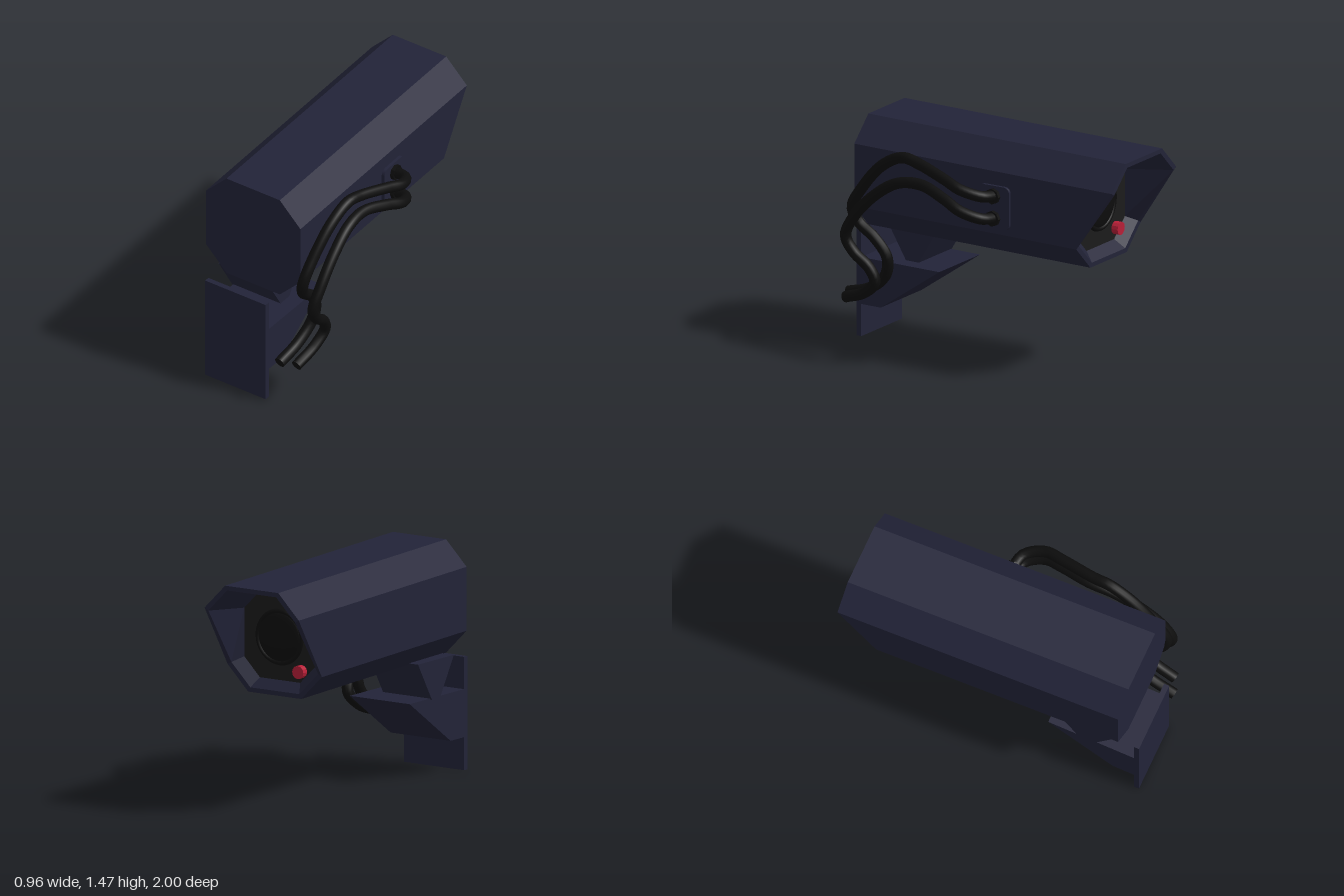
import * as THREE from 'three';

const NAVY = 0x222338, BLACK = 0x0d0d0d, PANEL = 0x1b1b1b, RED = 0xb81f38;
const YAW = 0.032, PITCH = 0.0137; // slight turn and tilt of the housing

const mat = (color, flatShading = true) =>
  new THREE.MeshStandardMaterial({ color, flatShading });

function add(parent, name, geometry, material) {
  const mesh = new THREE.Mesh(geometry, material);
  mesh.name = name;
  parent.add(mesh);
  return mesh;
}

// Point of the housing axis at depth z
const axis = (z) => new THREE.Vector3(-0.067 + YAW * (z - 0.89), 1.11 + PITCH * (z - 0.89), z);

// Octagon corners, counter-clockwise seen from the front
const A = 0.36, B = 0.203;
const OCT = [[A, -B], [A, B], [B, A], [-B, A], [-A, B], [-A, -B], [-B, -A], [B, -A]];
const ring = (scale, zAt) => OCT.map(([x, y]) => {
  const p = axis(zAt(y));
  return p.set(p.x + x * scale, p.y + y * scale, p.z);
});

function facets(triangles) {
  const g = new THREE.BufferGeometry().setFromPoints(triangles);
  g.computeVertexNormals();
  return g;
}

// Skin between successive rings, with a cap on the first
function shell(rings) {
  const t = [];
  for (let r = 0; r < rings.length - 1; r++) {
    for (let i = 0; i < 8; i++) {
      const j = (i + 1) % 8;
      const a = rings[r][i], b = rings[r][j], c = rings[r + 1][j], d = rings[r + 1][i];
      t.push(a, d, c, a, c, b);
    }
  }
  for (let i = 1; i < 7; i++) t.push(rings[0][0], rings[0][i], rings[0][i + 1]);
  return facets(t);
}

// Side profile of [z, y] points extruded across x
function sideProfile(points, x0, x1) {
  const shape = new THREE.Shape(points.map(([z, y]) => new THREE.Vector2(-z, y)));
  const g = new THREE.ExtrudeGeometry(shape, { depth: x1 - x0, bevelEnabled: false });
  return g.rotateY(Math.PI / 2).translate(x0, 0, 0);
}

function roundedRect(w, h, r) {
  const s = new THREE.Shape();
  s.absarc(w / 2 - r, h / 2 - r, r, 0, Math.PI / 2);
  s.absarc(-w / 2 + r, h / 2 - r, r, Math.PI / 2, Math.PI);
  s.absarc(-w / 2 + r, -h / 2 + r, r, Math.PI, Math.PI * 1.5);
  s.absarc(w / 2 - r, -h / 2 + r, r, Math.PI * 1.5, Math.PI * 2);
  return s;
}

// Round cable with closed ends
function cable(parent, name, points) {
  const path = new THREE.CatmullRomCurve3(points.map((p) => new THREE.Vector3(...p)));
  const material = mat(BLACK, false);
  add(parent, name, new THREE.TubeGeometry(path, 80, 0.036, 12), material);
  const end = add(parent, name + 'End', new THREE.CircleGeometry(0.036, 12), material);
  end.position.copy(path.getPoint(1));
  end.lookAt(end.position.clone().add(path.getTangent(1)));
}

export function createModel() {
  const model = new THREE.Group();
  model.name = 'securityCamera';
  const navy = mat(NAVY);

  // Octagonal housing with an overhanging, hollow hood
  const lip = (y) => (y > 0 ? -1 : -0.74);
  const panelRing = ring(0.76, () => -0.68);
  add(model, 'housing', shell([ring(1, () => 0.89), ring(1, lip), ring(0.92, lip), panelRing]), navy);

  // Recessed panel, lens and indicator light
  const fan = [];
  for (let i = 1; i < 7; i++) fan.push(panelRing[0], panelRing[i + 1], panelRing[i]);
  add(model, 'lensPanel', facets(fan), mat(PANEL));

  const optics = new THREE.Group();
  optics.name = 'optics';
  optics.position.copy(axis(-0.68));
  optics.rotation.y = Math.PI + YAW; // local +z looks out of the hood
  model.add(optics);
  add(optics, 'lensRing', new THREE.TorusGeometry(0.165, 0.016, 8, 32), mat(BLACK, false));
  const lens = add(optics, 'lens', new THREE.SphereGeometry(0.16, 32, 8, 0, Math.PI * 2, 0, Math.PI / 2), mat(BLACK, false));
  lens.rotation.x = Math.PI / 2;
  lens.scale.y = 0.2;
  const light = add(optics, 'indicatorLight', new THREE.CylinderGeometry(0.042, 0.042, 0.05, 12), mat(RED));
  light.rotation.x = Math.PI / 2;
  light.position.set(0.165, -0.2, 0.025);

  // Wall plate, arm and neck
  const plate = add(model, 'wallPlate', new THREE.BoxGeometry(0.46, 0.72, 0.035), navy);
  plate.position.set(-0.125, 0.36, 0.9825);
  add(model, 'arm', sideProfile([[0.97, 0.515], [0.97, 0.21], [0.82, 0.21], [0.38, 0.515]], -0.354, 0.104), navy);
  add(model, 'neck', sideProfile([[0.84, 0.755], [0.69, 0.505], [0.605, 0.505], [0.455, 0.755]], -0.365, 0.005), navy);

  // Cable inlet on the side of the housing
  const inlet = new THREE.Group();
  inlet.name = 'cableInlet';
  inlet.position.set(0.25, 1.07, -0.145);
  inlet.rotation.y = Math.PI / 2 + YAW;
  model.add(inlet);
  add(inlet, 'inletPlate', new THREE.ExtrudeGeometry(roundedRect(0.225, 0.28, 0.04),
    { depth: 0.03, bevelEnabled: false, curveSegments: 4 }), navy);
  for (const y of [0.075, -0.07]) {
    const gland = add(inlet, 'cableGland', new THREE.CylinderGeometry(0.05, 0.05, 0.05, 8), mat(BLACK));
    gland.rotation.x = Math.PI / 2;
    gland.position.set(0, y, 0.03);
  }

  // Two cables looping back to the wall
  cable(model, 'upperCable', [
    [0.27, 1.145, -0.15], [0.38, 1.16, -0.12], [0.44, 1.2, 0], [0.42, 1.24, 0.13],
    [0.375, 1.295, 0.36], [0.365, 1.31, 0.48], [0.35, 1.23, 0.64], [0.33, 1.06, 0.8],
    [0.315, 0.91, 0.89], [0.29, 0.81, 0.86], [0.275, 0.72, 0.75], [0.255, 0.6, 0.67],
    [0.24, 0.48, 0.69], [0.22, 0.37, 0.82], [0.205, 0.315, 0.99],
  ]);
  cable(model, 'lowerCable', [
    [0.27, 1, -0.15], [0.38, 1.015, -0.12], [0.44, 1.06, 0], [0.42, 1.11, 0.13],
    [0.38, 1.16, 0.33], [0.385, 1.145, 0.5], [0.395, 1.04, 0.67], [0.4, 0.88, 0.82],
    [0.39, 0.74, 0.89], [0.375, 0.64, 0.84], [0.36, 0.55, 0.735], [0.345, 0.46, 0.7],
    [0.325, 0.37, 0.79], [0.305, 0.31, 0.95],
  ]);
  return model;
}
